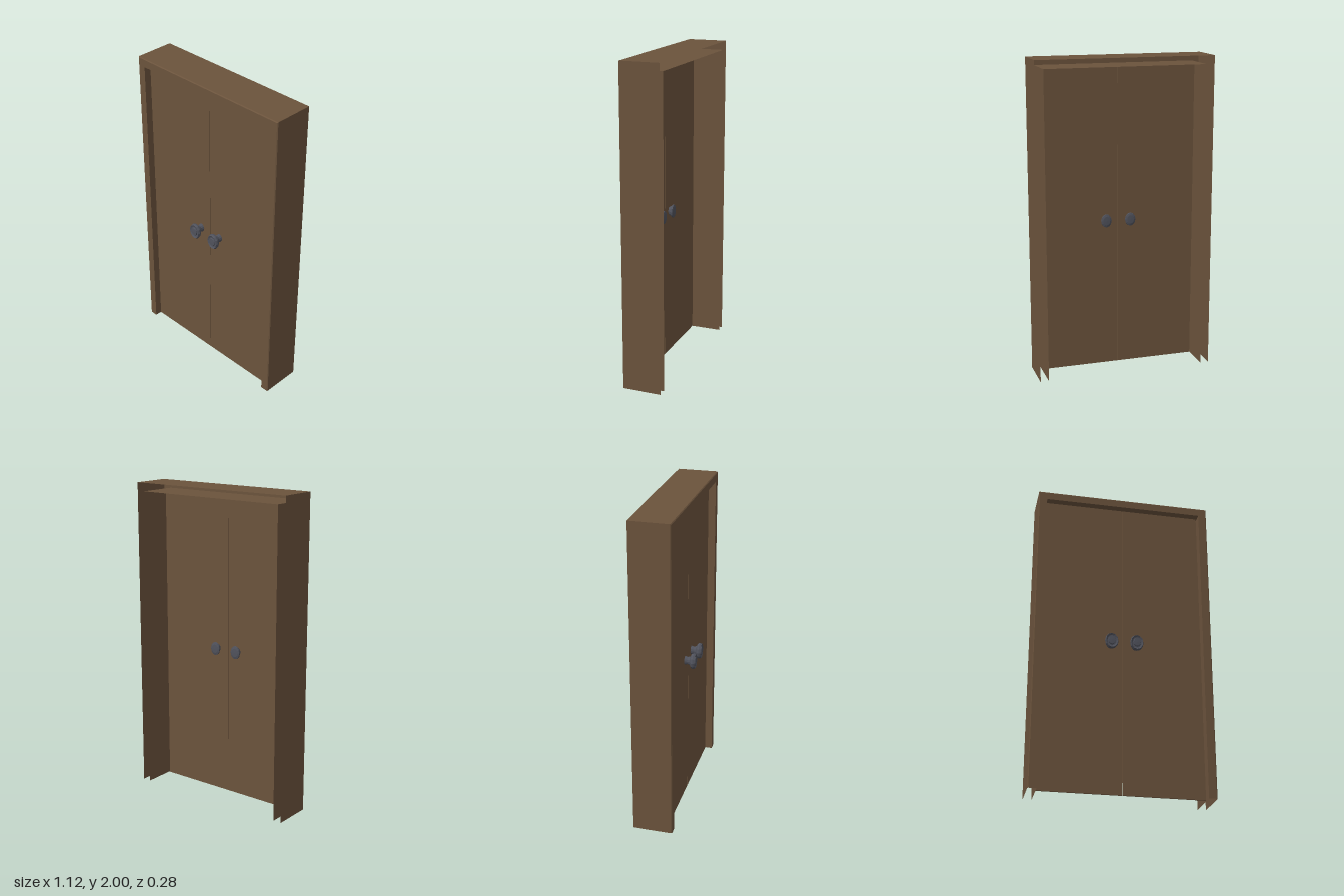
import * as THREE from 'three';

export function createModel() {
  const model = new THREE.Group();
  model.name = 'doubleDoor';
  const wood = new THREE.MeshStandardMaterial({ color: 0x6b533c, side: THREE.DoubleSide });
  wood.name = 'brown wood';
  const metal = new THREE.MeshStandardMaterial({ color: 0x50525c, flatShading: true, side: THREE.DoubleSide });
  metal.name = 'dark metal';

  const add = (parent, name, geometry, material) => {
    const mesh = new THREE.Mesh(geometry, material);
    mesh.name = name;
    parent.add(mesh);
    return mesh;
  };

  // Hollow frame: a profile (inset from outside, z), open at the back, swept up, across and down
  const halfW = 0.562, height = 2, border = 0.053;
  const profile = [[0, -0.14], [0, 0.11], [0.005, 0.115], [border, 0.115], [border, -0.14]];
  const corners = [
    d => [-halfW + d, 0], d => [-halfW + d, height - d],
    d => [halfW - d, height - d], d => [halfW - d, 0],
  ];
  const positions = [];
  for (let c = 0; c < 3; c++) {
    for (let p = 0; p < profile.length - 1; p++) {
      const [d0, z0] = profile[p], [d1, z1] = profile[p + 1];
      const a = [...corners[c](d0), z0], b = [...corners[c](d1), z1];
      const e = [...corners[c + 1](d1), z1], f = [...corners[c + 1](d0), z0];
      positions.push(...a, ...b, ...e, ...a, ...e, ...f);
    }
  }
  const frame = new THREE.BufferGeometry();
  frame.setAttribute('position', new THREE.Float32BufferAttribute(positions, 3));
  frame.computeVertexNormals();
  add(model, 'frame', frame, wood);

  // Knob profiles: radius and distance from the door face
  const frontProfile = [
    [0.028, 0], [0.024, 0.02], [0.03, 0.034], [0.05, 0.045], [0.053, 0.056],
    [0.047, 0.068], [0.036, 0.063], [0.029, 0.063], [0.026, 0.069], [0, 0.07],
  ];
  const backProfile = [[0.026, 0], [0.032, 0.012], [0.043, 0.024], [0.042, 0.031], [0.028, 0.035], [0, 0.036]];
  const knob = (parent, name, points, x, z, dir) => {
    const g = new THREE.LatheGeometry(points.map(([r, y]) => new THREE.Vector2(r, y)), 12);
    g.rotateX(dir * Math.PI / 2);
    g.scale(0.8, 1, 1);
    add(parent, name, g, metal).position.set(x, 0.963, z);
  };

  // Door leaves, each with a knob on both faces
  const leafH = height - border - 0.002, back = 0.06, front = 0.07;
  for (const [name, x0, x1, knobX] of [
    ['rightDoor', -0.508, -0.004, -0.079],
    ['leftDoor', -0.001, 0.503, 0.079],
  ]) {
    const leaf = new THREE.Group();
    leaf.name = name;
    add(leaf, name + 'Panel', new THREE.BoxGeometry(x1 - x0, leafH, front - back), wood)
      .position.set((x0 + x1) / 2, leafH / 2, (front + back) / 2);
    knob(leaf, name + 'FrontKnob', frontProfile, knobX, front, 1);
    knob(leaf, name + 'BackKnob', backProfile, knobX, back, -1);
    model.add(leaf);
  }
  return model;
}
